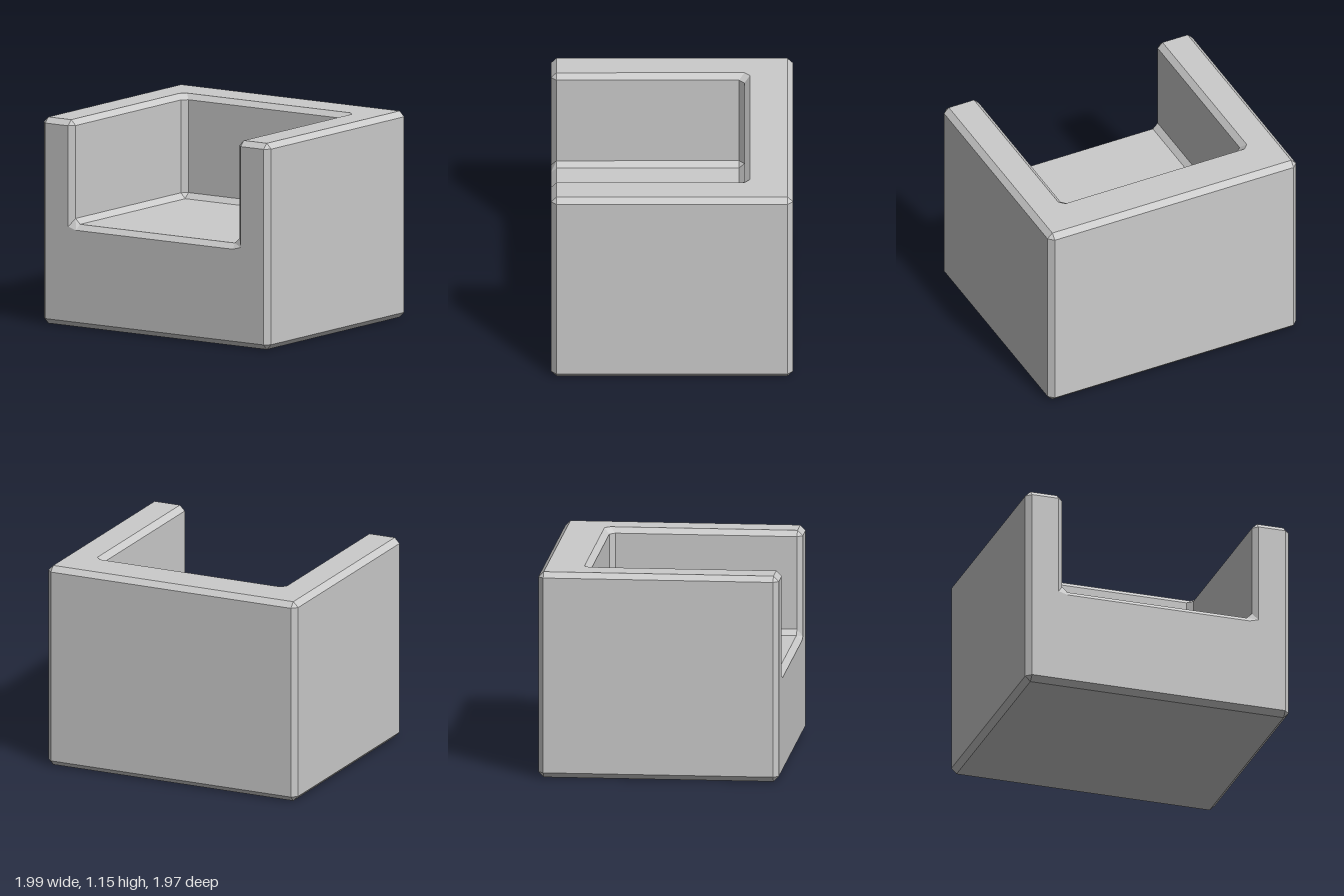
import * as THREE from 'three';

const W = 0.767, D = 0.667, H = 1.155; // half width, half depth, height
const IN = 0.552, BACK = -0.40, SEAT = 0.575; // inner arm face, inner back face, seat height
const B = 0.03; // bevel

// One upright cross-section of the wall: bottom, outer side, top, inner side, seat.
// Each pair is [x, z]; heights are the same for every section.
function section(bottom, outer, topOuter, topInner, inner, seat) {
  const rows = [
    [bottom, 0], [outer, B], [outer, H - B], [topOuter, H],
    [topInner, H], [inner, H - B], [inner, SEAT + B], [seat, SEAT],
  ];
  return rows.map(([[x, z], y]) => new THREE.Vector3(x, y, z));
}

function createBody() {
  const rim = [W - B, -D + B], seatCorner = [IN - B, BACK + B];
  // Front face outline of one arm
  const front = [
    [W - B, B], [W - B, B], [W - B, H - B], [W - B, H - B],
    [IN + B, H - B], [IN + B, H - B], [IN + B, 0.56], [0.53, SEAT - B],
  ].map(([x, y]) => new THREE.Vector3(x, y, D));
  const z = D - B;
  const half = [
    front,
    section([W - B, z], [W, z], [W - B, z], [IN + B, z], [IN, z], [IN - B, z]),
    section(rim, [W, -D + B], rim, [IN + B, BACK], [IN, BACK + B], seatCorner),
    section(rim, [W - B, -D], rim, [IN, BACK - B], [IN - B, BACK], seatCorner),
  ];
  const mirrored = half.map(s => s.map(p => new THREE.Vector3(-p.x, p.y, p.z))).reverse();
  const S = [...half, ...mirrored];

  const pos = [];
  const tri = (a, b, c) => {
    const area = b.clone().sub(a).cross(c.clone().sub(a)).length();
    if (area > 1e-7) for (const p of [a, b, c]) pos.push(p.x, p.y, p.z);
  };
  const quad = (a, b, c, d) => { tri(a, b, c); tri(a, c, d); };

  // Walls: arm, back, arm
  for (let i = 0; i < 7; i++)
    for (let j = 0; j < 7; j++)
      quad(S[i][j], S[i + 1][j], S[i + 1][j + 1], S[i][j + 1]);

  // Seat and underside with their front bevels
  for (const i of [0, 1]) {
    quad(S[i][7], S[i + 1][7], S[6 - i][7], S[7 - i][7]);
    quad(S[i][0], S[7 - i][0], S[6 - i][0], S[i + 1][0]);
  }

  // U-shaped front face
  const outline = [...S[0], ...S[7].slice().reverse()].map(p => new THREE.Vector2(p.x, p.y))
    .filter((p, i, all) => i === 0 || p.distanceTo(all[i - 1]) > 1e-6);
  for (const [a, b, c] of THREE.ShapeUtils.triangulateShape(outline, [])) {
    const [p, q, r] = [a, b, c].map(k => new THREE.Vector3(outline[k].x, outline[k].y, D));
    const facing = q.clone().sub(p).cross(r.clone().sub(p)).z;
    if (facing > 0) tri(p, q, r); else tri(p, r, q);
  }

  const geo = new THREE.BufferGeometry();
  geo.setAttribute('position', new THREE.Float32BufferAttribute(pos, 3));
  geo.computeVertexNormals();
  return geo;
}

export function createModel() {
  const group = new THREE.Group();
  group.name = 'armchair';
  const material = new THREE.MeshStandardMaterial({ color: 0xcccccc, flatShading: true });
  const body = new THREE.Mesh(createBody(), material);
  body.name = 'armchairBody';
  body.rotation.y = -0.71; // the chair stands turned
  group.add(body);
  return group;
}
